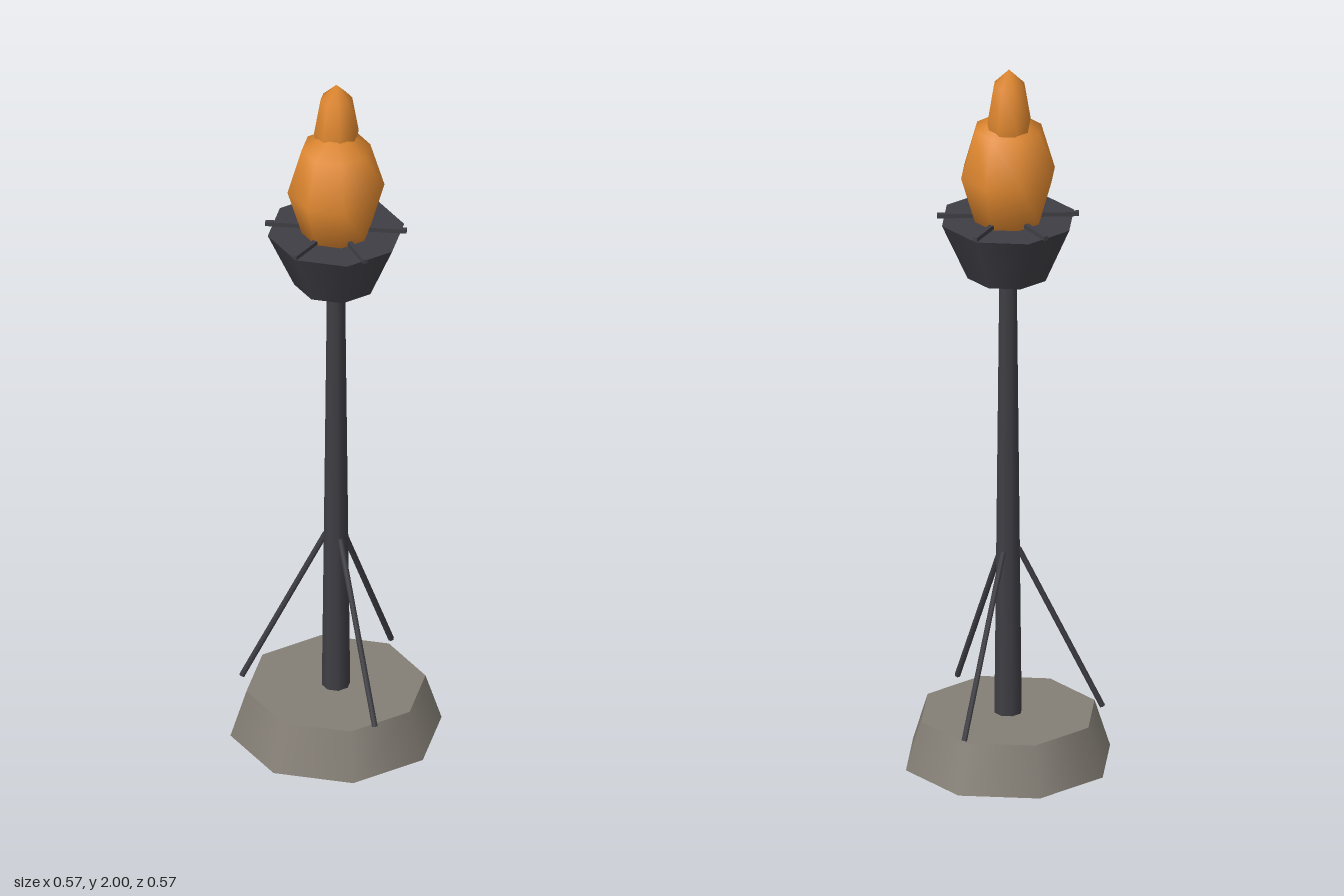
import * as THREE from 'three';

export function createModel() {
  const model = new THREE.Group();
  const material = (name, color) => {
    const m = new THREE.MeshStandardMaterial({ color });
    m.name = name;
    return m;
  };
  const stone = material('stone', 0x857f76);
  const iron = material('iron', 0x3e3e44);
  const fire = material('fire', 0xe08830);

  const add = (name, geometry, mat, x = 0, y = 0, z = 0) => {
    const mesh = new THREE.Mesh(geometry, mat);
    mesh.name = name;
    mesh.position.set(x, y, z);
    model.add(mesh);
    return mesh;
  };

  // Octagonal foot, tapered pole and fire bowl
  add('base', new THREE.CylinderGeometry(0.24, 0.283, 0.135, 8), stone, 0, 0.0675, 0);
  add('pole', new THREE.CylinderGeometry(0.024, 0.038, 1.28, 8), iron, 0, 0.77, 0);
  add('bowl', new THREE.CylinderGeometry(0.183, 0.112, 0.16, 8), iron, 0, 1.48, 0);

  // Three sloping braces around the pole
  for (let i = 0; i < 3; i++) {
    const angle = (i * Math.PI * 2) / 3;
    const at = (r, y) => new THREE.Vector3(r * Math.cos(angle), y, r * Math.sin(angle));
    const top = at(0.028, 0.605);
    const foot = at(0.25, 0.145);
    const along = top.clone().sub(foot);
    const brace = add('brace', new THREE.CylinderGeometry(0.008, 0.008, along.length(), 6), iron);
    brace.position.copy(top).add(foot).multiplyScalar(0.5);
    brace.quaternion.setFromUnitVectors(new THREE.Vector3(0, 1, 0), along.normalize());
  }

  // Crossed grate bars over the rim
  for (let i = 0; i < 3; i++) {
    const bar = add('grateBar', new THREE.BoxGeometry(0.376, 0.012, 0.012), iron, 0, 1.57, 0);
    bar.rotation.y = (i * Math.PI) / 3;
  }

  // Flame body with a smaller offset tip
  const flame = (name, r, h, x, y, z) =>
    add(name, new THREE.SphereGeometry(1, 8, 4).scale(r, h, r), fire, x, y, z);
  flame('flameBody', 0.13, 0.184, 0, 1.69, 0);
  flame('flameTip', 0.06, 0.147, 0.021, 1.853, -0.014);

  return model;
}
